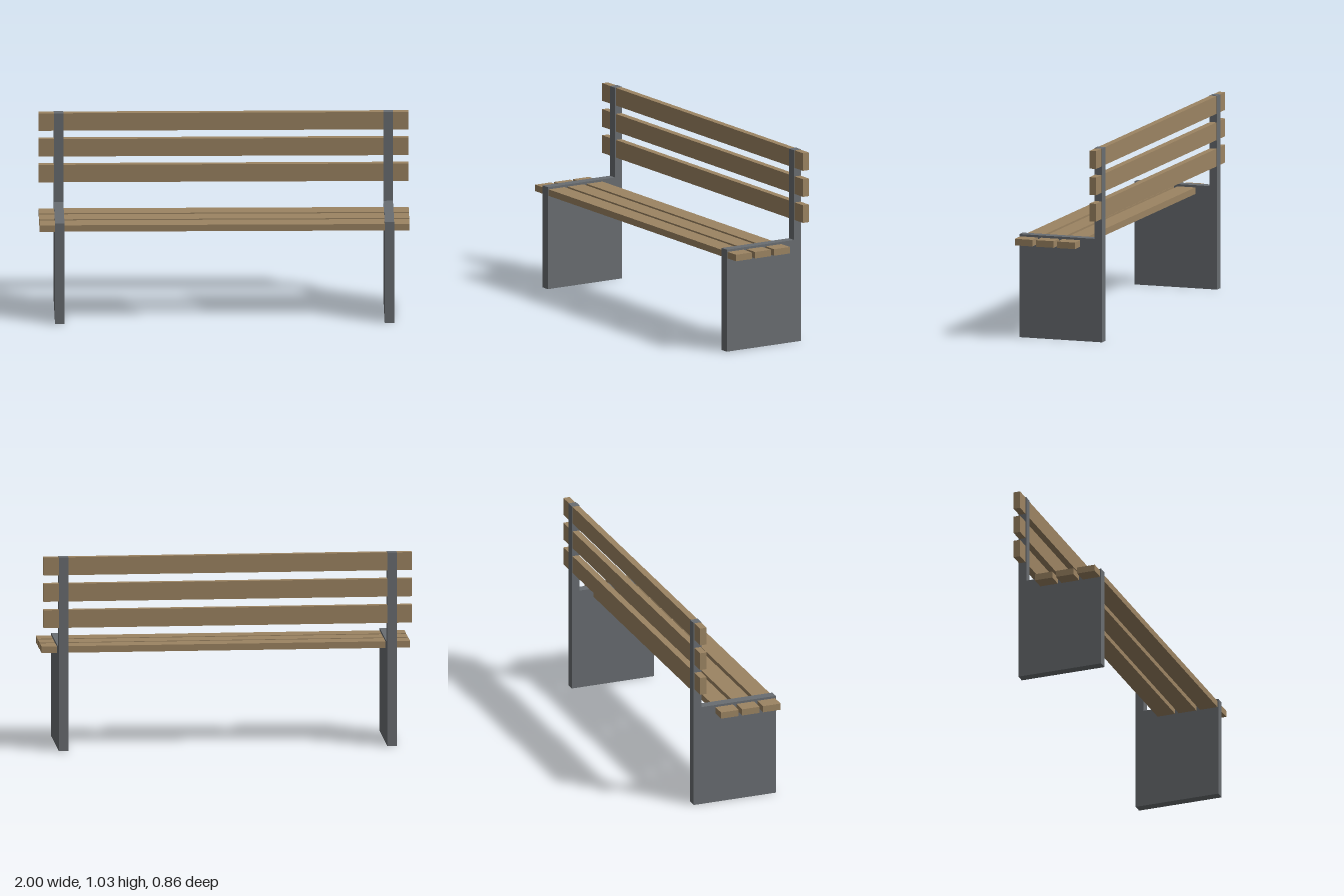
import * as THREE from 'three';

export function createModel() {
  const wood = new THREE.MeshStandardMaterial({ name: 'wood', color: 0x9c8462 });
  const metal = new THREE.MeshStandardMaterial({ name: 'grey metal', color: 0x696d71 });

  const model = new THREE.Group();
  model.name = 'parkBench';
  const bench = new THREE.Group();
  bench.name = 'bench';
  bench.rotation.y = Math.atan2(0.415, 1.9); // bench stands at an angle
  model.add(bench);

  // Box given by its extents on each axis
  function box(name, material, [x0, x1], [y0, y1], [z0, z1]) {
    const mesh = new THREE.Mesh(new THREE.BoxGeometry(x1 - x0, y1 - y0, z1 - z0), material);
    mesh.position.set((x0 + x1) / 2, (y0 + y1) / 2, (z0 + z1) / 2);
    mesh.name = name;
    bench.add(mesh);
  }

  // Side panels and the uprights above them
  for (const [side, x] of [['left', [0.842, 0.892]], ['right', [-0.892, -0.842]]]) {
    box(side + 'SidePanel', metal, x, [0, 0.55], [-0.232, 0.233]);
    box(side + 'BackPost', metal, x, [0.55, 1.034], [-0.232, -0.188]);
  }

  // Three seat planks and three backrest slats
  const length = [-0.973, 0.973];
  for (let i = 0; i < 3; i++) {
    const front = 0.228 - i * 0.119;
    box('seatPlank' + (i + 1), wood, length, [0.503, 0.538], [front - 0.099, front]);
    const top = 1.033 - i * 0.1405;
    box('backSlat' + (i + 1), wood, length, [top - 0.095, top], [-0.228, -0.192]);
  }
  return model;
}
